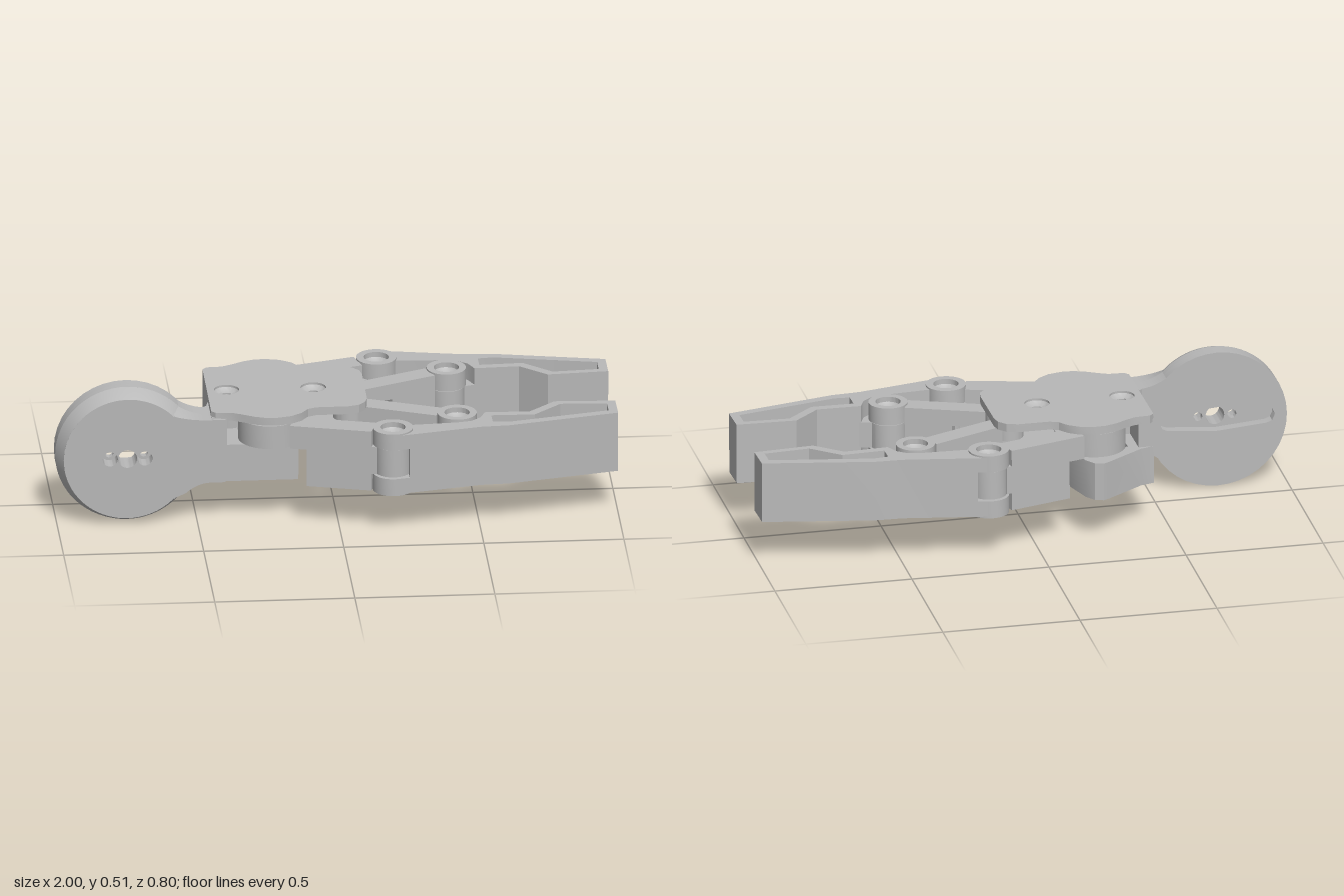
import * as THREE from 'three';
import { toCreasedNormals } from 'three/addons/utils/BufferGeometryUtils.js';

const steel = new THREE.MeshStandardMaterial({ color: 0xb8b8b8 });
steel.name = 'plain grey';

function add(parent, name, geometry) {
  const mesh = new THREE.Mesh(toCreasedNormals(geometry, 0.5), steel);
  mesh.name = name;
  parent.add(mesh);
  return mesh;
}

// Polygon, always counter-clockwise so that walls and holes face the right way
function poly(points) {
  const v = points.map(([a, b]) => new THREE.Vector2(a, b));
  return new THREE.Shape(THREE.ShapeUtils.isClockWise(v) ? v.reverse() : v);
}
function circle(x, y, r) {
  const s = new THREE.Shape();
  s.absarc(x, y, r, 0, Math.PI * 2, false);
  return s;
}
const extrude = (shape, depth) =>
  new THREE.ExtrudeGeometry(shape, { depth, bevelEnabled: false, curveSegments: 20 });

// Horizontal slab: the shape is drawn as (x, -z) and raised from y0 to y1
function slab(parent, name, shape, y0, y1) {
  return add(parent, name, extrude(shape, y1 - y0).rotateX(-Math.PI / 2).translate(0, y0, 0));
}
// Upright plate: the shape is drawn as (x, y) and runs from z0 to z1
function plate(parent, name, shape, z0, z1) {
  return add(parent, name, extrude(shape, z1 - z0).translate(0, 0, z0));
}
function box(parent, name, x0, x1, y0, y1, z0, z1) {
  const g = new THREE.BoxGeometry(x1 - x0, y1 - y0, z1 - z0);
  return add(parent, name, g.translate((x0 + x1) / 2, (y0 + y1) / 2, (z0 + z1) / 2));
}
// Round pivot eye with a bore
function hub(parent, name, x, z, r, y0, y1) {
  const s = circle(x, -z, r);
  s.holes.push(circle(x, -z, 0.045));
  slab(parent, name, s, y0, y1);
}
// Screw sleeve recessed in a bore, with a countersunk rim and a blind socket
function sleeve(parent, x, z, y0, y1) {
  const p = [[0, y0], [0.046, y0], [0.046, y1], [0.036, y1 - 0.01], [0.023, y1 - 0.015],
    [0.023, y0 + 0.01], [0, y0 + 0.01]];
  const g = new THREE.LatheGeometry(p.map(([a, b]) => new THREE.Vector2(a, b)), 28);
  add(parent, 'screwSleeve', g.translate(x, 0, z));
}
// Straight bar between two pivots, trimmed at each end
function bar(parent, name, a, b, w, trimA, trimB, y0, y1) {
  const A = new THREE.Vector2(a[0], -a[1]), B = new THREE.Vector2(b[0], -b[1]);
  const d = B.clone().sub(A).normalize();
  const n = new THREE.Vector2(-d.y, d.x).multiplyScalar(w / 2);
  A.addScaledVector(d, trimA);
  B.addScaledVector(d, -trimB);
  slab(parent, name, new THREE.Shape([
    A.clone().sub(n), B.clone().sub(n), B.clone().add(n), A.clone().add(n)]), y0, y1);
}

const LOW = 0.163, HIGH = 0.387, MID0 = 0.225, MID1 = 0.328;

// One gripping side: finger, outer link and inner link; s = 1 front, -1 back
function buildJaw(s) {
  const jaw = new THREE.Group();
  jaw.name = s > 0 ? 'frontJaw' : 'backJaw';
  const flip = (points) => poly(points.map(([x, z]) => [x, -s * z]));
  const root = [-0.24, s * 0.158], outer = [0.185, s * 0.327];
  const inner = [0.425, s * 0.21], slide = [0.05, s * 0.055];

  // Finger with a long window
  const finger = flip([[0.24, 0.389], [0.5, 0.338], [0.6, 0.333], [0.997, 0.25], [0.997, 0.137],
    [0.78, 0.125], [0.685, 0.21], [0.525, 0.205], [0.505, 0.25], [0.47, 0.28], [0.42, 0.29], [0.24, 0.3]]);
  finger.holes.push(flip([[0.545, 0.235], [0.545, 0.295], [0.6, 0.3], [0.965, 0.225],
    [0.965, 0.16], [0.8, 0.15], [0.7, 0.24]]));
  slab(jaw, 'finger', finger, LOW, HIGH);
  hub(jaw, 'fingerLowerFork', ...outer, 0.072, LOW - 0.007, MID0 - 0.004);
  hub(jaw, 'fingerUpperFork', ...outer, 0.072, MID1 + 0.004, HIGH + 0.006);
  for (const [y0, y1] of [[LOW, MID0 - 0.004], [MID1 + 0.004, HIGH]]) {
    slab(jaw, 'fingerForkCheek',
      flip([[0.2, 0.397], [0.25, 0.387], [0.25, 0.3], [0.238, 0.332], [0.21, 0.377]]), y0, y1);
  }
  hub(jaw, 'fingerTab', ...inner, 0.065, MID0 + 0.004, MID1 - 0.004);
  slab(jaw, 'fingerTabRoot', flip([[0.45, 0.3], [0.55, 0.3], [0.55, 0.21], [0.475, 0.19], [0.475, 0.25]]),
    MID0 + 0.004, MID1 - 0.004);

  // Outer link: raised root eye, deep body and middle tongue
  const shoulder = [-0.215, s * 0.217];
  hub(jaw, 'outerLinkRoot', ...root, 0.113, 0.3, HIGH);
  bar(jaw, 'outerLinkArm', shoulder, outer, 0.085, 0.05, 0.1, 0.3, HIGH);
  bar(jaw, 'outerLinkBody', shoulder, outer, 0.085, 0.11, 0.07, LOW - 0.003, HIGH);
  bar(jaw, 'outerLinkNeck', shoulder, outer, 0.085, 0.3, 0.05, MID0, MID1);
  hub(jaw, 'outerLinkTongue', ...outer, 0.064, MID0, MID1);
  sleeve(jaw, ...root, 0.31, HIGH - 0.01);

  // Inner link: forked at both ends
  bar(jaw, 'innerLink', slide, inner, 0.075, 0.17, 0.066, LOW, HIGH);
  for (const [y0, y1] of [[LOW, MID0], [MID1, HIGH]]) {
    bar(jaw, 'innerLinkFork', slide, inner, 0.075, 0.05, 0.22, y0, y1);
    hub(jaw, 'innerLinkSlideEye', ...slide, 0.055, y0, y1);
  }
  hub(jaw, 'innerLinkLowerEye', ...inner, 0.07, LOW - 0.007, MID0);
  hub(jaw, 'innerLinkUpperEye', ...inner, 0.07, MID1, HIGH + 0.006);
  for (const p of [outer, inner, slide]) sleeve(jaw, ...p, LOW + 0.02, HIGH - 0.012);
  return jaw;
}

// Mounting disc with a slotted back, tapered front and neck
function buildMount() {
  const mount = new THREE.Group();
  mount.name = 'mountingDisc';
  const cx = -0.75, cy = 0.257, R = 0.254;
  const bored = (r, small) => {
    const s = circle(cx, cy, r);
    s.holes.push(circle(cx, cy, 0.034));
    for (const k of [-1, 1]) s.holes.push(circle(cx + k * 0.062, cy, small));
    return s;
  };
  const back = circle(cx, cy, R);
  back.holes.push(poly([[-0.2, -0.022], [-0.18, -0.03], [0, -0.045], [0.18, -0.03], [0.2, -0.022],
    [0.21, 0], [0.2, 0.022], [0.18, 0.03], [0, 0.045], [-0.18, 0.03], [-0.2, 0.022], [-0.21, 0]]
    .map(([x, y]) => [cx + x, cy + y])));
  plate(mount, 'discBack', back, 0.102, 0.14);
  plate(mount, 'discCore', bored(R, 0.016), 0.14, 0.165);
  plate(mount, 'discFront', bored(0.228, 0.027), 0.165, 0.224);
  const rim = [[0.2, 0.165], [R, 0.165], [0.242, 0.197], [0.228, 0.224]].map(([a, b]) => new THREE.Vector2(a, b));
  add(mount, 'discTaper', new THREE.LatheGeometry(rim, 64).rotateX(Math.PI / 2).translate(cx, cy, 0));

  // Neck flaring into the disc; its flare narrows toward the front like the rim
  const neck = new THREE.Shape();
  neck.moveTo(-0.585, 0.445);
  neck.quadraticCurveTo(-0.525, 0.395, -0.45, 0.397);
  neck.lineTo(-0.4, 0.397);
  neck.lineTo(-0.4, 0.157);
  neck.lineTo(-0.45, 0.157);
  neck.quadraticCurveTo(-0.525, 0.157, -0.585, 0.069);
  neck.lineTo(-0.585, 0.445);
  plate(mount, 'neckBack', neck, 0.145, 0.165);
  const flare = extrude(neck, 0.059);
  const p = flare.attributes.position;
  for (let i = 0; i < p.count; i++) {
    const dy = p.getY(i) - cy, spread = Math.min(1, Math.max(0, (Math.abs(dy) - 0.14) / 0.045));
    if (p.getZ(i) > 0.03) p.setY(i, dy + cy - Math.sign(dy) * 0.028 * spread);
  }
  flare.computeVertexNormals();
  add(mount, 'neckFront', flare.translate(0, 0, 0.165));

  // Rear of the neck stops short of the slot
  const rear = new THREE.Shape();
  rear.moveTo(-0.585, 0.445);
  rear.quadraticCurveTo(-0.525, 0.395, -0.45, 0.397);
  rear.lineTo(-0.4, 0.397);
  rear.lineTo(-0.4, 0.157);
  rear.lineTo(-0.45, 0.157);
  rear.quadraticCurveTo(-0.525, 0.157, -0.585, 0.069);
  rear.quadraticCurveTo(-0.455, 0.257, -0.585, 0.445);
  plate(mount, 'neckRear', rear, 0.102, 0.145);
  return mount;
}

// Bracket: end wall, hollow lower block and top cover
function buildBracket() {
  const bracket = new THREE.Group();
  bracket.name = 'bracket';
  box(bracket, 'endWall', -0.45, -0.395, 0.157, 0.4, -0.2, 0.215);
  slab(bracket, 'neckFillet', poly([[-0.48, -0.105], [-0.46, -0.09], [-0.45, -0.05], [-0.44, -0.12]]), 0.157, 0.397);
  slab(bracket, 'screwPost', circle(-0.375, 0, 0.065), 0.29, 0.393);
  const block = poly([[-0.45, -0.215], [-0.14, -0.215], [-0.14, 0.13], [-0.185, 0.28],
    [-0.21, 0.315], [-0.24, 0.325], [-0.265, 0.31], [-0.4, 0.215], [-0.45, 0.2]]);
  block.holes.push(poly([[-0.175, -0.18], [-0.205, 0.24], [-0.36, 0.18], [-0.34, -0.19]]));
  slab(bracket, 'lowerBlock', block, 0.157, 0.297);

  const half = [[-0.45, 0.195], [-0.435, 0.212], [-0.38, 0.215], [-0.345, 0.232], [-0.3, 0.258],
    [-0.26, 0.272], [-0.22, 0.274], [-0.17, 0.262], [-0.13, 0.235], [-0.105, 0.2], [-0.075, 0.187],
    [0.04, 0.186], [0.08, 0.174], [0.105, 0.145], [0.112, 0.11]];
  const cover = poly([...half.map(([x, z]) => [x, -z]), ...half.reverse()]);
  for (const x of [-0.38, -0.07]) {
    cover.holes.push(circle(x, 0, 0.045));
    sleeve(bracket, x, 0, 0.37, 0.413);
  }
  slab(bracket, 'topCover', cover, 0.39, 0.42);
  return bracket;
}

export function createModel() {
  const model = new THREE.Group();
  model.name = 'gripper';
  const body = new THREE.Group();
  body.name = 'gripperBody';

  const jaws = new THREE.Group();
  jaws.name = 'jaws';
  jaws.add(buildJaw(1), buildJaw(-1));
  box(jaws, 'slider', -0.12, 0.112, MID0, MID1, -0.1, 0.1);
  jaws.rotation.y = 0.013;
  body.add(jaws, buildMount(), buildBracket());

  // Slight lean of the whole tool about its long axis
  body.position.y = -0.255;
  const lean = new THREE.Group();
  lean.name = 'lean';
  lean.add(body);
  lean.rotation.x = 0.022;
  lean.position.y = 0.255;
  model.add(lean);
  return model;
}
